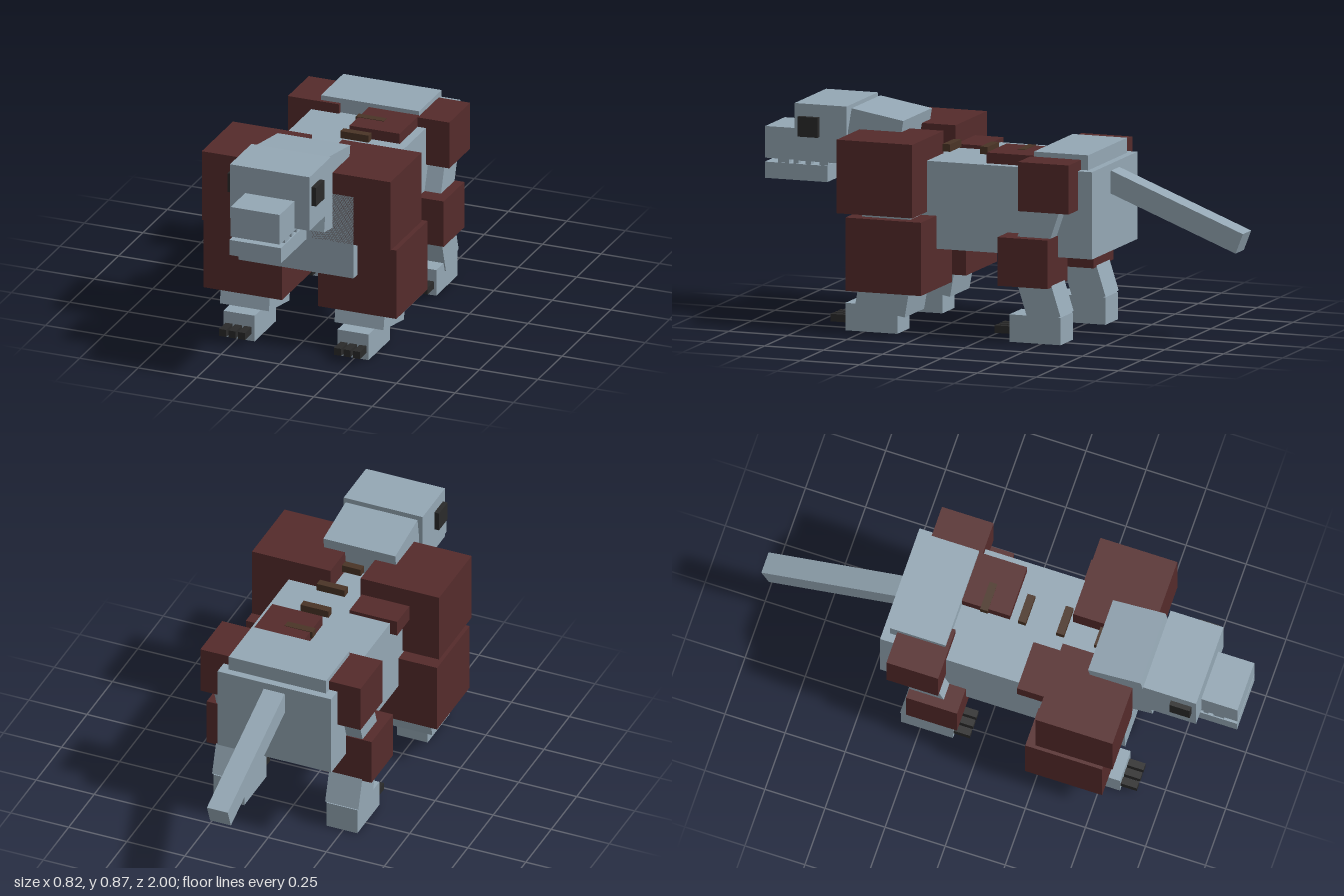
import * as THREE from 'three';

function mat(name, color) {
  const m = new THREE.MeshStandardMaterial({ color });
  m.name = name;
  return m;
}

export function createModel() {
  const hide = mat('greyHide', 0x94a7b4);
  const armor = mat('darkRedArmor', 0x552b2b);
  const dark = mat('charcoal', 0x2a2a2a);
  const brown = mat('brownSpine', 0x4a3426);

  const model = new THREE.Group();
  model.name = 'armoredBeast';

  // Box given by its extents [min, max] on each axis, optionally tilted about x
  function box(parent, name, material, x, y, z, tilt = 0) {
    const mesh = new THREE.Mesh(
      new THREE.BoxGeometry(x[1] - x[0], y[1] - y[0], z[1] - z[0]), material);
    mesh.position.set((x[0] + x[1]) / 2, (y[0] + y[1]) / 2, (z[0] + z[1]) / 2);
    mesh.rotation.x = tilt;
    mesh.name = name;
    parent.add(mesh);
    return mesh;
  }
  // Extents on the given side (s = 1 left, -1 right)
  const side = (s, a, b) => (s > 0 ? [a, b] : [-b, -a]);
  // Extents from centre and size
  const mid = (c, size) => [c - size / 2, c + size / 2];

  // Torso, rump and tail
  box(model, 'body', hide, [-0.245, 0.245], [0.34, 0.69], [-0.44, 0.58]);
  box(model, 'rump', hide, [-0.21, 0.21], [0.62, 0.75], [-0.41, -0.18]);
  box(model, 'tail', hide, [-0.045, 0.045], mid(0.514, 0.086), mid(-0.706, 0.6), -0.372);

  // Neck and head
  box(model, 'neck', hide, [-0.155, 0.155], mid(0.691, 0.309), mid(0.53, 0.222), -0.165);
  const head = new THREE.Group();
  head.name = 'head';
  model.add(head);
  box(head, 'skull', hide, [-0.17, 0.17], [0.64, 0.87], [0.63, 0.85]);
  box(head, 'snout', hide, [-0.105, 0.105], [0.63, 0.757], [0.8, 1]);
  box(head, 'jaw', hide, [-0.11, 0.11], [0.55, 0.615], [0.735, 1]);
  for (const s of [1, -1]) {
    box(head, 'eye', dark, side(s, 0.165, 0.19), [0.74, 0.82], [0.745, 0.83]);
    for (const [a, b] of [[0.9, 0.945], [0.86, 0.88], [0.805, 0.83], [0.735, 0.77]]) {
      box(head, 'tooth', hide, side(s, 0.075, 0.105), [0.61, 0.642], [a, b]);
    }
  }

  // Armour plates and spine studs on the back
  box(model, 'rearBackPlate', armor, [-0.005, 0.21], [0.67, 0.733], [-0.18, 0.02]);
  box(model, 'frontBackPlate', armor, [-0.275, -0.07], [0.64, 0.705], [0.14, 0.34]);
  for (const z of [-0.085, 0.073, 0.232, 0.39]) {
    box(model, 'spineStud', brown, [-0.015, 0.105], [0.705, 0.735], mid(z, 0.032));
  }

  // Foot with three claws
  function foot(parent, s, z0, z1) {
    box(parent, 'foot', hide, side(s, 0.177, 0.31), [0, 0.11], [z0, z1]);
    for (const x of [0.205, 0.245, 0.286]) {
      box(parent, 'claw', dark, side(s, x - 0.015, x + 0.015), [0.03, 0.06], [z1 - 0.01, z1 + 0.067]);
    }
  }

  for (const s of [1, -1]) {
    // Front leg
    const front = new THREE.Group();
    front.name = s > 0 ? 'leftFrontLeg' : 'rightFrontLeg';
    model.add(front);
    box(front, 'shoulderArmor', armor, side(s, 0.065, 0.403), [0.485, 0.78], [0.26, 0.58]);
    box(front, 'upperArm', hide, side(s, 0.16, 0.368), mid(0.5, 0.25), mid(0.39, 0.2), 0.17);
    box(front, 'forearmArmor', armor, side(s, 0.077, 0.412), [0.178, 0.472], [0.22, 0.54]);
    box(front, 'forearm', hide, side(s, 0.14, 0.35), mid(0.195, 0.205), mid(0.4, 0.213), -0.175);
    foot(front, s, 0.36, 0.58);

    // Hind leg
    const hind = new THREE.Group();
    hind.name = s > 0 ? 'leftHindLeg' : 'rightHindLeg';
    model.add(hind);
    box(hind, 'hipArmor', armor, side(s, 0.127, 0.345), [0.533, 0.73], [-0.38, -0.165]);
    box(hind, 'thigh', hide, side(s, 0.172, 0.315), mid(0.48, 0.25), mid(-0.24, 0.132), -0.33);
    box(hind, 'kneeArmor', armor, side(s, 0.14, 0.355), [0.23, 0.425], [-0.295, -0.083]);
    box(hind, 'shin', hide, side(s, 0.172, 0.315), mid(0.213, 0.25), mid(-0.23, 0.138), 0.307);
    foot(hind, s, -0.332, -0.115);
  }
  return model;
}
